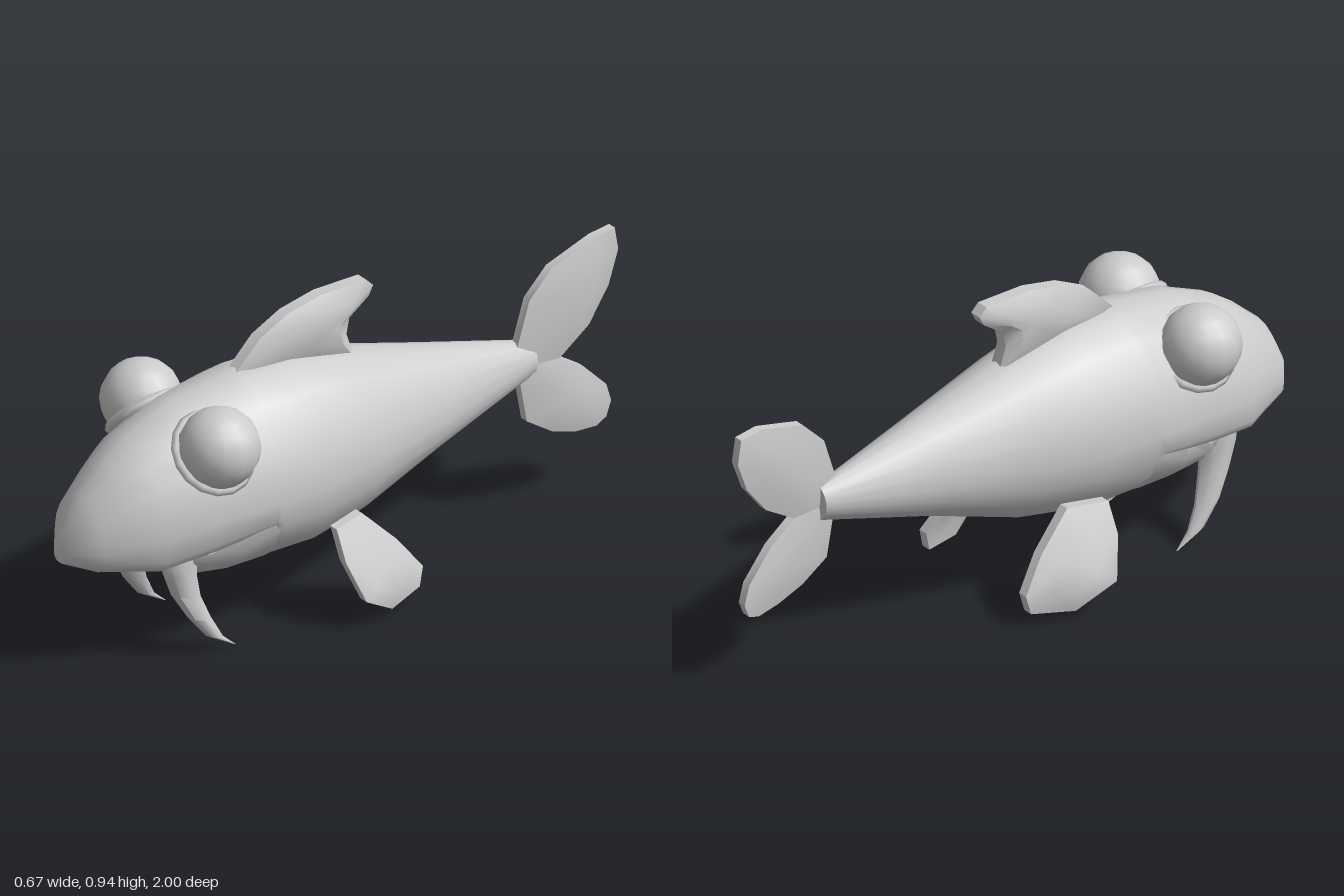
import * as THREE from 'three';
import { mergeVertices, toCreasedNormals } from 'three/addons/utils/BufferGeometryUtils.js';

const material = new THREE.MeshStandardMaterial({ color: 0xcccccc });

function addMesh(parent, name, geometry) {
  const mesh = new THREE.Mesh(geometry, material);
  mesh.name = name;
  parent.add(mesh);
  return mesh;
}

// Skin a list of closed loops (arrays of Vector3), cap both ends, face outward
function loft(loops, crease = 0.8) {
  const n = loops[0].length;
  const tris = [];
  const centre = (loop) => loop.reduce((s, p) => s.add(p), new THREE.Vector3()).divideScalar(n);
  const first = loops[0], last = loops[loops.length - 1];
  const c0 = centre(first), c1 = centre(last);
  for (let j = 0; j < n; j++) {
    const k = (j + 1) % n;
    tris.push([c0, first[j], first[k]], [c1, last[k], last[j]]);
    for (let i = 0; i < loops.length - 1; i++) {
      const a = loops[i], b = loops[i + 1];
      tris.push([a[j], b[j], a[k]], [a[k], b[j], b[k]]);
    }
  }
  const volume = tris.reduce((v, [a, b, c]) => v + a.dot(b.clone().cross(c)), 0);
  if (volume < 0) tris.forEach((t) => t.reverse());
  const geometry = new THREE.BufferGeometry().setFromPoints(tris.flat());
  return toCreasedNormals(mergeVertices(geometry), crease);
}

// Body cross-section: half width, top, widest height, bottom, squareness below
function section([z, w, top, mid, bottom, power = 1], n = 20) {
  return Array.from({ length: n }, (_, i) => {
    const a = (i / n) * Math.PI * 2, c = Math.cos(a), s = Math.sin(a);
    const p = s > 0 ? 1.12 : power;
    const h = s > 0 ? top - mid : mid - bottom;
    return new THREE.Vector3(
      w * Math.sign(c) * Math.abs(c) ** p,
      mid + h * Math.sign(s) * Math.abs(s) ** p, z);
  });
}

// Fin from a (z, y) outline: thin rim, thicker middle, bent by x = bend(z, y)
function fin(outline, rim, thick, bend = () => 0, side = 1) {
  const n = outline.length;
  const cz = outline.reduce((s, p) => s + p[0], 0) / n;
  const cy = outline.reduce((s, p) => s + p[1], 0) / n;
  const ring = (scale, x) => outline.map(([pz, py]) => {
    const z = cz + (pz - cz) * scale, y = cy + (py - cy) * scale;
    return new THREE.Vector3(side * (x + bend(z, y)), y, z);
  });
  return loft([ring(0.5, thick), ring(1, rim), ring(1, -rim), ring(0.5, -thick)], 0.7);
}

export function createModel() {
  const model = new THREE.Group();
  model.name = 'fish';

  // Body with the overhanging upper head
  addMesh(model, 'body', loft([
    [1.0, 0.03, 0.42, 0.385, 0.35, 0.7],
    [0.93, 0.12, 0.55, 0.40, 0.325, 0.6],
    [0.83, 0.17, 0.64, 0.42, 0.31, 0.55],
    [0.76, 0.205, 0.69, 0.43, 0.30, 0.5],
    [0.6, 0.235, 0.76, 0.45, 0.32, 0.5],
    [0.4, 0.257, 0.79, 0.46, 0.355, 0.5],
    [0.37, 0.256, 0.795, 0.46, 0.2],
    [0.2, 0.25, 0.79, 0.46, 0.195],
    [0, 0.21, 0.745, 0.46, 0.23],
    [-0.3, 0.137, 0.66, 0.47, 0.335],
    [-0.68, 0.04, 0.555, 0.5, 0.445],
  ].map((s) => section(s)), 1));

  // Lower jaw, set back under the lip
  addMesh(model, 'lowerJaw', loft([
    [0.71, 0.14, 0.34, 0.32, 0.285],
    [0.6, 0.2, 0.37, 0.34, 0.22],
    [0.5, 0.225, 0.42, 0.38, 0.2],
    [0.38, 0.25, 0.5, 0.45, 0.195],
    [0.22, 0.23, 0.5, 0.45, 0.21],
  ].map((s) => section(s)), 1));

  // Dorsal fin
  addMesh(model, 'dorsalFin', fin([
    [0.4, 0.77], [0.3, 0.87], [0.2, 0.92], [0.08, 0.945], [-0.08, 0.945],
    [-0.105, 0.92], [-0.09, 0.89], [-0.02, 0.84], [-0.01, 0.79], [-0.04, 0.7], [0.2, 0.74],
  ], 0.02, 0.047));

  // Tail, two gently curved lobes
  const tailBend = (z) => 0.012 - 0.4 * Math.max(0, -0.72 - z) ** 2;
  addMesh(model, 'upperTailLobe', fin([
    [-0.61, 0.54], [-0.66, 0.70], [-0.74, 0.78], [-0.9, 0.825], [-0.985, 0.825],
    [-1, 0.75], [-0.96, 0.65], [-0.88, 0.55], [-0.77, 0.48], [-0.63, 0.46],
  ], 0.014, 0.028, tailBend));
  addMesh(model, 'lowerTailLobe', fin([
    [-0.61, 0.53], [-0.77, 0.48], [-0.86, 0.42], [-0.95, 0.33], [-0.97, 0.27], [-0.95, 0.225],
    [-0.91, 0.21], [-0.83, 0.22], [-0.74, 0.25], [-0.65, 0.31], [-0.63, 0.42],
  ], 0.014, 0.026, tailBend));

  for (const side of [1, -1]) {
    const label = side > 0 ? 'left' : 'right';

    // Pectoral fin, flaring out toward its front edge
    addMesh(model, label + 'PectoralFin', fin([
      [0.19, 0.31], [0.19, 0.22], [0.15, 0.1], [0.03, 0.025],
      [-0.1, 0.04], [-0.115, 0.1], [-0.04, 0.2], [0.07, 0.31],
    ], 0.016, 0.03, (z, y) => 0.235 + (z + 0.11) * 0.33 - Math.max(0, y - 0.1) * 0.5, side));

    // Barbel: tapered and swept back
    addMesh(model, label + 'Barbel', loft([
      [0.13, 0.35, 0.68, 0.048, 0.07],
      [0.135, 0.28, 0.675, 0.044, 0.06],
      [0.14, 0.2, 0.655, 0.038, 0.052],
      [0.158, 0.12, 0.617, 0.029, 0.042],
      [0.167, 0.05, 0.57, 0.019, 0.03],
      [0.17, 0.003, 0.5, 0.002, 0.003],
    ].map(([x, y, z, rx, rz]) => Array.from({ length: 8 }, (_, i) => {
      const a = (i / 8) * Math.PI * 2;
      return new THREE.Vector3(side * (x + rx * Math.cos(a)), y + rz * 0.3 * Math.sin(a), z + rz * Math.sin(a));
    }))));

    // Bulging eye and the rim around it
    const eye = addMesh(model, label + 'Eye', new THREE.SphereGeometry(0.122, 14, 10));
    eye.position.set(side * 0.19, 0.672, 0.57);
    const rim = addMesh(model, label + 'EyeRim', new THREE.TorusGeometry(0.118, 0.017, 6, 16));
    rim.position.set(side * 0.16, 0.643, 0.57);
    rim.quaternion.setFromUnitVectors(
      new THREE.Vector3(0, 0, 1), new THREE.Vector3(side * 0.73, 0.69, 0).normalize());
  }
  return model;
}
